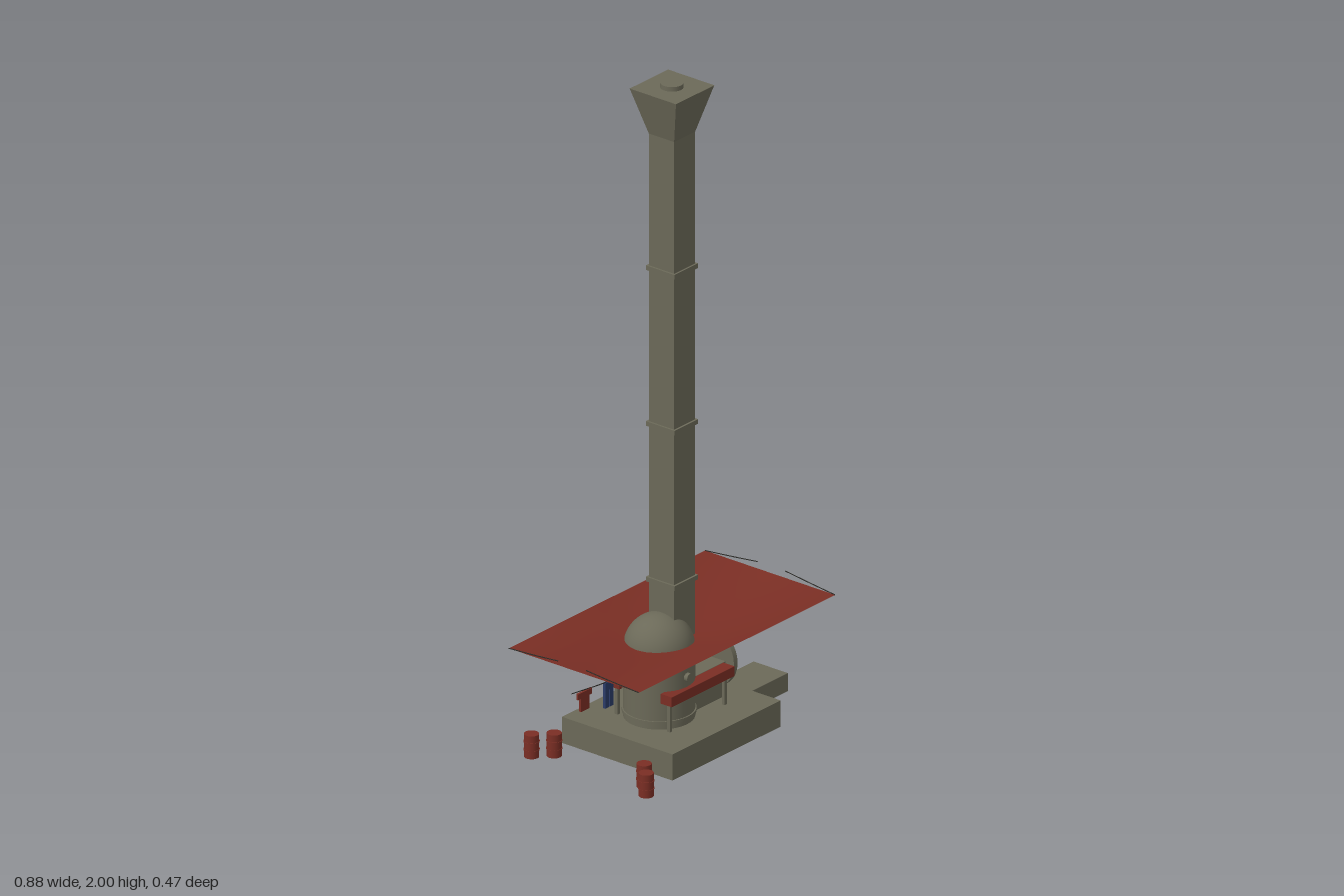
import * as THREE from 'three';

export function createModel() {
  const g = new THREE.Group();
  const mat = (name, color, side = THREE.FrontSide) => {
    const m = new THREE.MeshStandardMaterial({ color, side });
    m.name = name;
    return m;
  };
  const stone = mat('olive grey', 0x6b6958);
  const red = mat('rust red', 0x7a2e24, THREE.DoubleSide);
  const blue = mat('denim blue', 0x2b3c68);
  const dark = mat('dark rope', 0x2c2c28);

  const add = (name, geo, m, x = 0, y = 0, z = 0) => {
    const mesh = new THREE.Mesh(geo, m);
    mesh.name = name;
    mesh.position.set(x, y, z);
    g.add(mesh);
    return mesh;
  };
  // Box given by its lower and upper corners
  const box = (name, m, x0, x1, y0, y1, z0, z1) =>
    add(name, new THREE.BoxGeometry(x1 - x0, y1 - y0, z1 - z0), m, (x0 + x1) / 2, (y0 + y1) / 2, (z0 + z1) / 2);
  const cyl = (name, m, r, h, x, y, z, axis = 'y', seg = 24) => {
    const geo = new THREE.CylinderGeometry(r, r, h, seg);
    if (axis === 'x') geo.rotateZ(-Math.PI / 2);
    if (axis === 'z') geo.rotateX(Math.PI / 2);
    return add(name, geo, m, x, y, z);
  };
  const rope = (name, points) =>
    add(name, new THREE.TubeGeometry(new THREE.CatmullRomCurve3(points.map(p => new THREE.Vector3(...p))), 16, 0.0015, 5), dark);

  // Plinth and entrance step
  box('plinth', stone, -0.24, 0.235, 0, 0.08, -0.2, 0.2);
  box('step', stone, 0.235, 0.433, 0, 0.055, -0.062, 0.062);

  // Domed boiler with bands and ports
  const bx = -0.056;
  const profile = [new THREE.Vector2(0.101, 0.08), new THREE.Vector2(0.101, 0.29)];
  add('boiler', new THREE.CylinderGeometry(0.101, 0.101, 0.21, 40, 1, true), stone, bx, 0.185, 0);
  add('boilerDome', new THREE.SphereGeometry(0.101, 40, 14, 0, Math.PI * 2, 0, Math.PI / 2), stone, bx, profile[1].y, 0);
  for (const y of [0.1, 0.275]) cyl('boilerBand', stone, 0.105, 0.01, bx, y, 0, 'y', 40);
  for (const s of [-1, 1]) cyl('sidePort', stone, 0.013, 0.02, bx, 0.225, s * 0.102, 'z', 16);
  box('rearVent', stone, -0.19, -0.15, 0.203, 0.25, -0.025, 0.025);

  // Firebox with a round door and handle
  box('firebox', stone, 0.02, 0.162, 0.08, 0.185, -0.06, 0.06);
  cyl('fireDoor', stone, 0.09, 0.016, 0.171, 0.183, 0, 'x', 32);
  cyl('doorHub', stone, 0.014, 0.022, 0.18, 0.183, 0, 'x', 16);
  box('doorHandle', stone, 0.175, 0.265, 0.122, 0.136, -0.008, 0.008);
  box('handleGrip', stone, 0.255, 0.265, 0.1, 0.136, -0.008, 0.008);

  // Square chimney with bands, flared crown and cap
  box('chimney', stone, -0.046, 0.046, 0.08, 1.85, -0.046, 0.046);
  for (const y of [0.48, 0.957, 1.435]) box('chimneyBand', stone, -0.052, 0.052, y - 0.007, y + 0.007, -0.052, 0.052);
  const crown = new THREE.CylinderGeometry(0.084 * Math.SQRT2, 0.046 * Math.SQRT2, 0.14, 4).toNonIndexed();
  crown.rotateY(Math.PI / 4);
  crown.computeVertexNormals();
  add('chimneyCrown', crown, stone, 0, 1.916, 0);
  cyl('chimneyCap', stone, 0.033, 0.02, 0, 1.99, 0);

  // Sagging cloth canopy
  const cloth = new THREE.PlaneGeometry(0.86, 0.472, 24, 16);
  cloth.rotateX(-Math.PI / 2);
  const p = cloth.attributes.position;
  for (let i = 0; i < p.count; i++) {
    const u = p.getX(i) / 0.43, v = p.getZ(i) / 0.236;
    p.setY(i, 0.346 - 0.043 * (1 - Math.abs(u) ** 1.5) * (1 - Math.abs(v) ** 1.7));
  }
  cloth.computeVertexNormals();
  add('canopy', cloth, red);

  // Canopy stays, benches and drums, mirrored front to back
  for (const s of [-1, 1]) {
    for (const e of [-1, 1]) rope('canopyStay', [[e * 0.43, 0.346, s * 0.236], [e * 0.434, 0.354, s * 0.14], [e * 0.437, 0.363, s * 0.05]]);
    const z0 = s > 0 ? 0.075 : -0.115;
    box('bench', red, -0.14, 0.135, 0.165, 0.195, z0, z0 + 0.04);
    for (const x of [-0.125, 0.115]) box('benchLeg', stone, x - 0.005, x + 0.005, 0.08, 0.165, s * 0.095 - 0.005, s * 0.095 + 0.005);
    for (const [x, z] of [[-0.364, 0.208], [-0.319, 0.163]]) {
      cyl('drum', red, 0.0215, 0.07, x, 0.035, s * z);
      for (const y of [0.023, 0.047]) cyl('drumRib', red, 0.023, 0.003, x, y, s * z);
    }
  }

  // Clothes lines with hanging shirts and trousers
  const shirt = (x, top) => {
    box('shirtBody', red, x - 0.018, x + 0.018, top - 0.058, top, -0.004, 0.004);
    box('shirtSleeves', red, x - 0.03, x + 0.03, top - 0.018, top, -0.0035, 0.0035);
  };
  const trousers = (x, top) => {
    box('trouserWaist', blue, x - 0.018, x + 0.018, top - 0.025, top, -0.004, 0.004);
    for (const s of [-1, 1]) box('trouserLeg', blue, x + s * 0.01 - 0.008, x + s * 0.01 + 0.008, top - 0.078, top - 0.02, -0.004, 0.004);
  };
  rope('clothesLine', [[-0.44, 0.278, 0], [-0.3, 0.262, 0], [-0.155, 0.255, 0]]);
  rope('clothesLine', [[0.04, 0.25, 0], [0.24, 0.258, 0], [0.44, 0.278, 0]]);
  shirt(-0.385, 0.268);
  trousers(-0.279, 0.261);
  shirt(0.27, 0.261);
  trousers(0.389, 0.271);
  shirt(0.105, 0.25);
  trousers(0.065, 0.25);
  return g;
}
